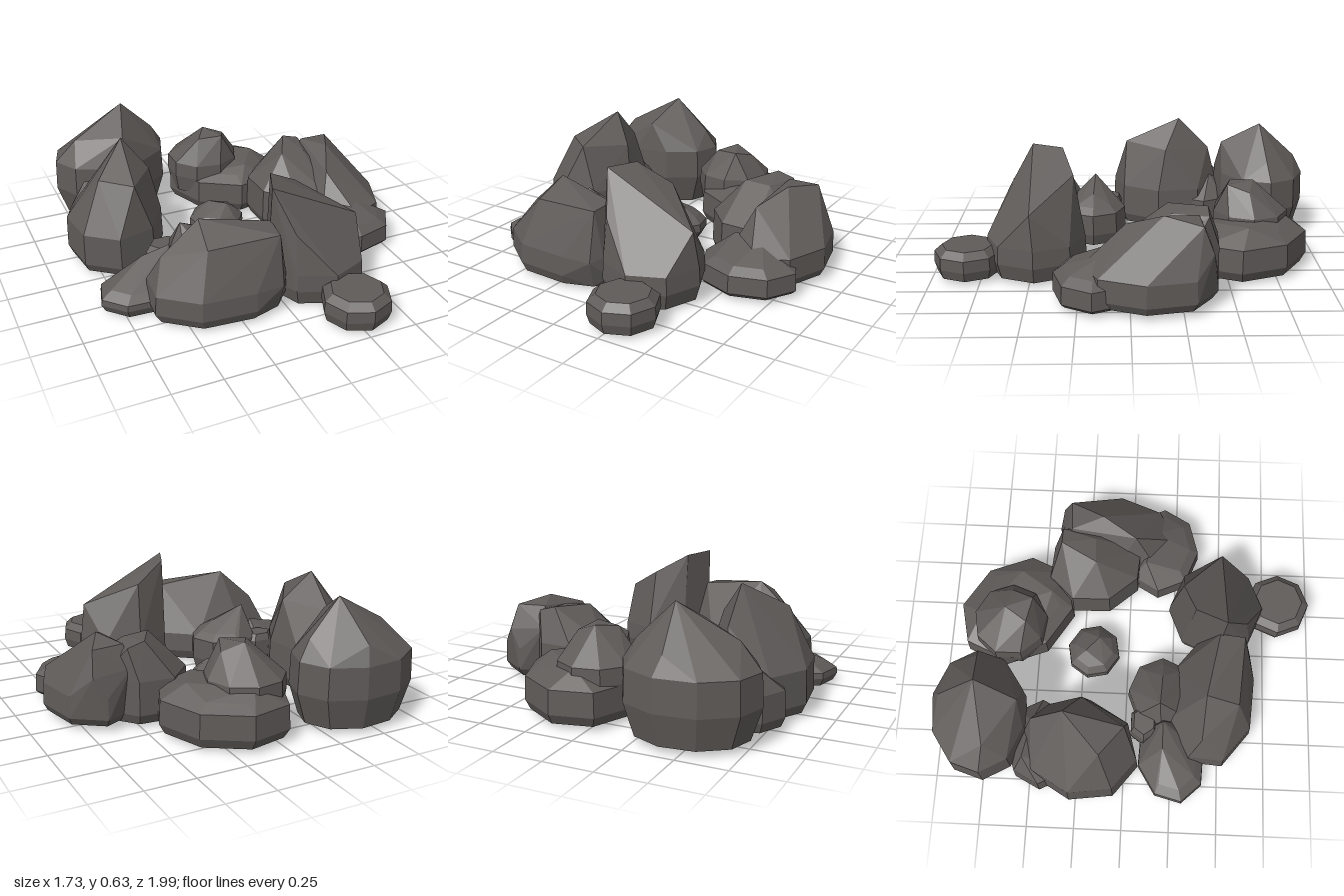
import * as THREE from 'three';
import { ConvexGeometry } from 'three/addons/geometries/ConvexGeometry.js';

const stone = new THREE.MeshStandardMaterial({ color: 0x5f5b59 });
stone.name = 'darkStone';

// Faceted rock: oval rings from inset base to bevelled cap, wrapped in a hull
// together with a few corner points that give it its peak and shoulders.
function rock(name, [cx, cz], [long, short], options, corners = []) {
  const { turn = 0, sides = 8, phase = 0, base = 0.02, low = 0.07, wall = 0.13, inset = 0.91 } = options;
  const rings = [[inset, base], [1, low], [0.98, wall], [0.75, wall + 0.035]];
  const points = corners.map((p) => new THREE.Vector3(...p));
  for (const [scale, y] of rings) {
    for (let i = 0; i < sides; i++) {
      const t = ((i + phase) / sides) * Math.PI * 2;
      const u = Math.cos(t) * long * scale;
      const v = Math.sin(t) * short * scale;
      points.push(new THREE.Vector3(
        cx + u * Math.cos(turn) - v * Math.sin(turn), y,
        cz + u * Math.sin(turn) + v * Math.cos(turn),
      ));
    }
  }
  const mesh = new THREE.Mesh(new ConvexGeometry(points), stone);
  mesh.name = name;
  return mesh;
}

export function createModel() {
  const group = new THREE.Group();
  group.name = 'rockRing';

  // Back and left side
  group.add(
    rock('backLeftBoulder', [-0.47, -0.755], [0.33, 0.248],
      { turn: -0.1, sides: 10, base: 0.03, low: 0.19, wall: 0.35, inset: 0.84 },
      [[-0.39, 0.63, -0.745], [-0.42, 0.44, -0.95], [-0.21, 0.45, -0.77], [-0.45, 0.51, -0.54], [-0.68, 0.47, -0.7]]),
    rock('leftBoulder', [-0.61, -0.23], [0.31, 0.255], { turn: 1.77, wall: 0.24 },
      [[-0.53, 0.63, -0.3], [-0.41, 0.47, -0.22], [-0.56, 0.49, 0], [-0.71, 0.5, -0.12], [-0.53, 0.46, -0.47]]),
    rock('tuckedStone', [-0.58, -0.44], [0.23, 0.185], { base: 0, low: 0.05, wall: 0.18 },
      [[-0.69, 0.3, -0.52], [-0.5, 0.3, -0.48]]),
    rock('leftLowStone', [-0.62, 0.25], [0.24, 0.18], { turn: -0.25, base: 0.01, low: 0.05, wall: 0.08 },
      [[-0.6, 0.21, 0.2], [-0.46, 0.24, 0.2]]),
    rock('leftInnerStone', [-0.28, 0.19], [0.19, 0.18], { base: 0.01, wall: 0.18 },
      [[-0.39, 0.34, 0.18], [-0.22, 0.27, 0.19]]),
    rock('leftChip', [-0.45, 0.1], [0.1, 0.08], { sides: 6, wall: 0.16 }),
  );

  // Back and right side
  group.add(
    rock('backRightSlab', [0.17, -0.62], [0.34, 0.275], { turn: 0.88, wall: 0.19 },
      [[0.1, 0.27, -0.8], [0.35, 0.27, -0.6], [0.24, 0.26, -0.43]]),
    rock('backRightKnob', [0.06, -0.64], [0.205, 0.2], { sides: 9, base: 0.1, low: 0.2, wall: 0.28 },
      [[0.07, 0.44, -0.65], [0.13, 0.43, -0.51], [0, 0.42, -0.54], [0.18, 0.4, -0.62]]),
    rock('rightInnerBoulder', [0.43, -0.2], [0.27, 0.235], { turn: 1.2, wall: 0.24 },
      [[0.46, 0.425, -0.38], [0.36, 0.41, -0.19], [0.55, 0.4, -0.38], [0.5, 0.4, -0.2]]),
    rock('rightOuterBoulder', [0.64, -0.09], [0.33, 0.235], { turn: 1.65, base: 0.03, wall: 0.18 },
      [[0.62, 0.43, -0.16], [0.71, 0.405, -0.34], [0.55, 0.41, -0.33], [0.53, 0.36, 0.02], [0.53, 0.3, -0.38], [0.73, 0.28, -0.39]]),
    rock('rightFlatStone', [0.575, 0.165], [0.26, 0.21], { turn: 0.05, low: 0.04 },
      [[0.62, 0.24, 0.12], [0.45, 0.23, 0.08]]),
  );

  // Centre and front
  group.add(
    rock('centrePebble', [-0.04, -0.19], [0.15, 0.145], { turn: 0.2, wall: 0.11, inset: 0.8 },
      [[-0.07, 0.19, -0.23], [0.01, 0.19, -0.16]]),
    rock('frontBoulder', [0.215, 0.475], [0.257, 0.257], { low: 0.1, wall: 0.19 },
      [[-0.035, 0.61, 0.5], [0.03, 0.605, 0.34], [0.2, 0.505, 0.28], [0.44, 0.37, 0.49], [0.04, 0.4, 0.62]]),
    rock('frontLeftBoulder', [-0.31, 0.455], [0.36, 0.24], { turn: 0.08, phase: 0.5, wall: 0.17 },
      [[-0.57, 0.31, 0.4], [-0.38, 0.48, 0.41], [-0.03, 0.425, 0.48], [-0.4, 0.4, 0.58], [-0.04, 0.415, 0.61],
        [-0.04, 0.16, 0.66], [-0.05, 0.02, 0.62], [0, 0.18, 0.6]]),
    rock('frontPebble', [0.27, 0.82], [0.175, 0.175], {}),
  );
  return group;
}
